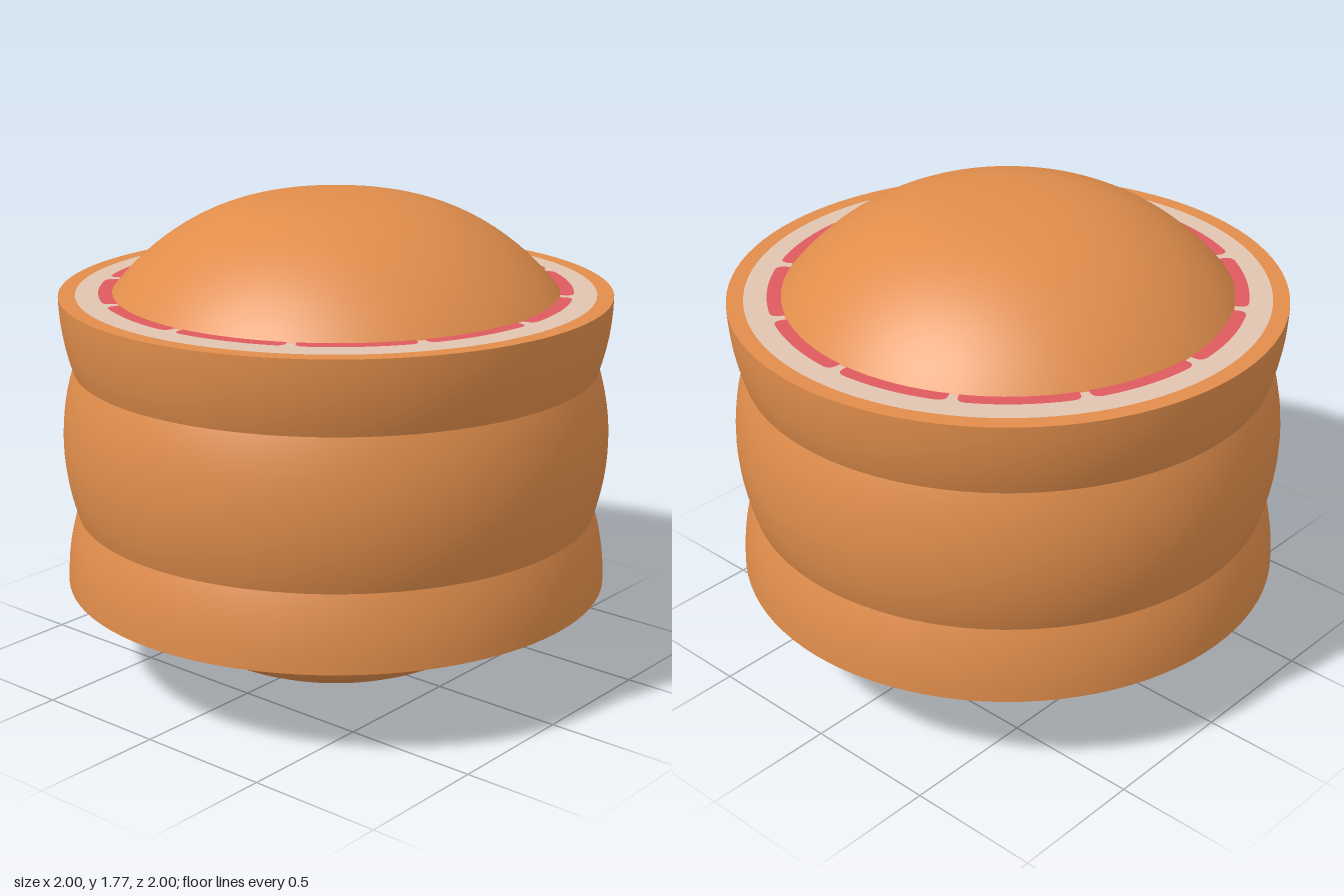
import * as THREE from 'three';

const peel = new THREE.MeshStandardMaterial({ color: 0xe08d4b });
peel.name = 'orange peel';
const pith = new THREE.MeshStandardMaterial({ color: 0xe0c4b0 });
pith.name = 'cream pith';
const flesh = new THREE.MeshStandardMaterial({ color: 0xdd5a5e });
flesh.name = 'red flesh';

const CENTRE = 0.887; // middle of the whole fruit
const CUT = 0.54;     // height of each cut face from the middle
const SIDES = 96;

// Fruit outline: an ellipse with softly flattened poles, from angle a0 to a1
function fruitProfile(a0, a1, steps) {
  const points = [];
  for (let i = 0; i <= steps; i++) {
    const a = a0 + (a1 - a0) * i / steps;
    const r = Math.max(0, Math.cos(a));
    const s = Math.sin(a);
    const flat = 0.033 * Math.exp(-((r / 0.34) ** 2));
    points.push(new THREE.Vector2(r, s * (0.92 - flat)));
  }
  return points;
}

function part(name, geometry, material) {
  const mesh = new THREE.Mesh(geometry, material);
  mesh.name = name;
  return mesh;
}

// One rounded wedge of flesh, pointing along +x
function wedgeGeometry() {
  const outer = 0.857, gap = 0.016, round = 0.035;
  const at = (r, a) => [r * Math.cos(a), r * Math.sin(a)];
  const edge = (r) => Math.PI / 12 - gap / r;
  const a = edge(outer), b = a - round / outer;
  const shape = new THREE.Shape();
  shape.moveTo(...at(0.12, 0));
  shape.lineTo(...at(0.14, -edge(0.14)));
  shape.lineTo(...at(outer - round, -edge(outer - round)));
  shape.quadraticCurveTo(...at(outer, -a), ...at(outer, -b));
  shape.absarc(0, 0, outer, -b, b, false);
  shape.quadraticCurveTo(...at(outer, a), ...at(outer - round, edge(outer - round)));
  shape.lineTo(...at(0.14, edge(0.14)));
  shape.closePath();
  return new THREE.ShapeGeometry(shape, 12).rotateX(-Math.PI / 2);
}

// Half fruit with its cut face up at y = 0
function halfFruit(name) {
  const half = new THREE.Group();
  half.name = name;
  half.add(part('halfPeel', new THREE.LatheGeometry(fruitProfile(-Math.PI / 2, 0, 32), SIDES), peel));
  half.add(part('peelRim', new THREE.RingGeometry(0.94, 1, SIDES).rotateX(-Math.PI / 2), peel));
  half.add(part('pithDisc', new THREE.CircleGeometry(0.94, SIDES).rotateX(-Math.PI / 2), pith));
  const wedge = wedgeGeometry();
  for (let i = 0; i < 12; i++) {
    const segment = part('fleshSegment', wedge, flesh);
    segment.rotation.y = (i + 0.5) * Math.PI / 6;
    segment.position.y = 0.003;
    half.add(segment);
  }
  return half;
}

export function createModel() {
  const model = new THREE.Group();
  model.name = 'citrusStack';

  // Whole fruit running through both halves
  const whole = part('wholeFruit',
    new THREE.LatheGeometry(fruitProfile(-Math.PI / 2, Math.PI / 2, 64), SIDES), peel);
  whole.position.y = CENTRE;
  model.add(whole);

  // Halves with their cut faces outward, up and down
  const upper = halfFruit('upperHalf');
  upper.position.y = CENTRE + CUT;
  const lower = halfFruit('lowerHalf');
  lower.position.y = CENTRE - CUT;
  lower.rotation.x = Math.PI;
  model.add(upper, lower);

  return model;
}
